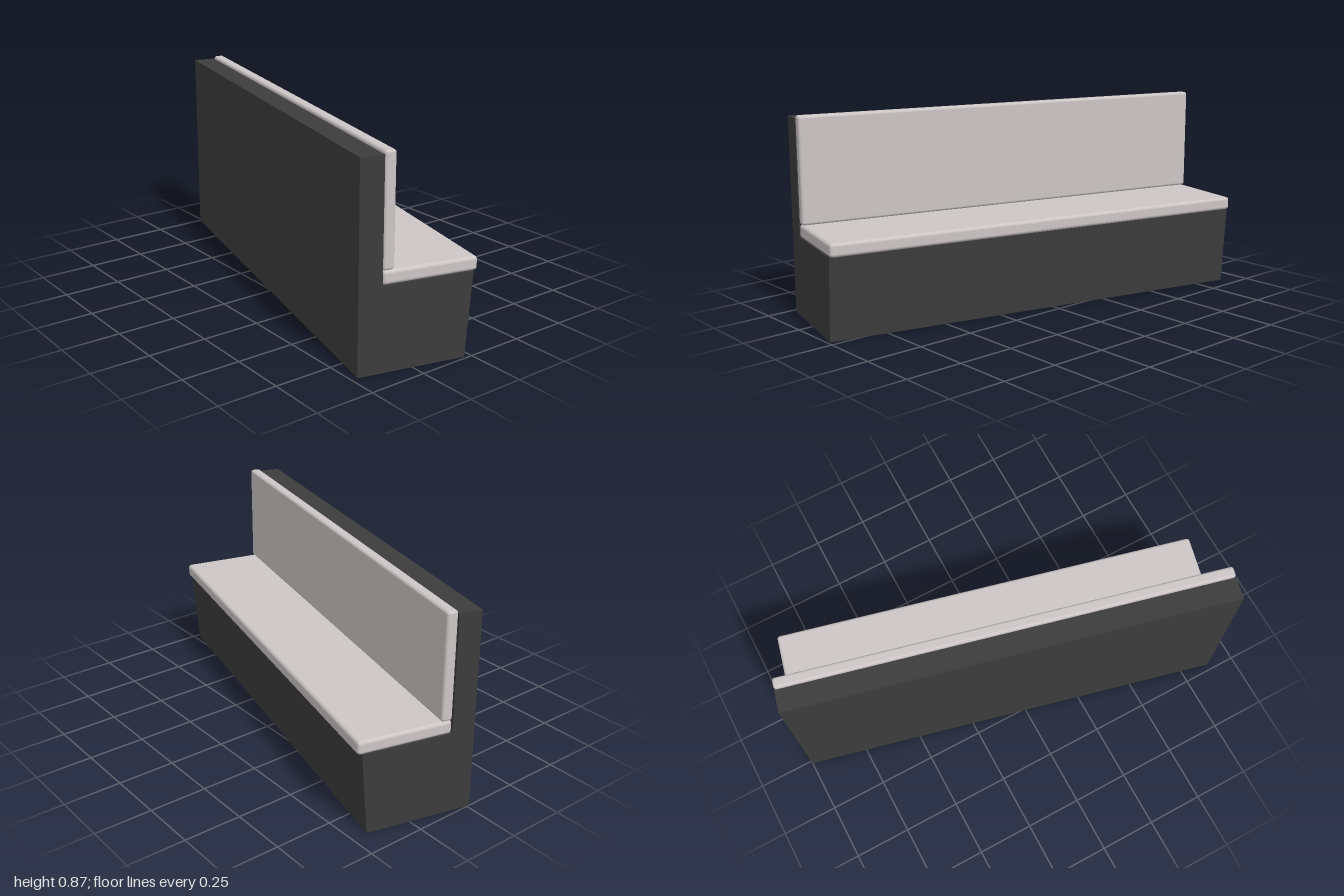
import * as THREE from 'three';
import { RoundedBoxGeometry } from 'three/addons/geometries/RoundedBoxGeometry.js';

const LENGTH = 1.936;

export function createModel() {
  const frameMaterial = new THREE.MeshStandardMaterial({ color: 0x3c3c3c });
  frameMaterial.name = 'charcoal';
  const cushionMaterial = new THREE.MeshStandardMaterial({ color: 0xccc5c5 });
  cushionMaterial.name = 'pale grey upholstery';

  const bench = new THREE.Group();
  bench.name = 'bench';

  // Base and back panel: one L-shaped section with a sloping front
  const section = new THREE.Shape([
    [-0.25, 0], [0.206, 0], [0.232, 0.353], [-0.152, 0.353], [-0.152, 0.853], [-0.25, 0.853],
  ].map(([x, y]) => new THREE.Vector2(x, y)));
  const frameGeometry = new THREE.ExtrudeGeometry(section, { depth: LENGTH, bevelEnabled: false });
  frameGeometry.translate(0, 0, -LENGTH / 2);
  const frame = new THREE.Mesh(frameGeometry, frameMaterial);
  frame.name = 'frame';
  bench.add(frame);

  // Soft-edged cushions running the whole length
  const addCushion = (name, x0, x1, y0, y1, radius) => {
    const geometry = new RoundedBoxGeometry(x1 - x0, y1 - y0, LENGTH, 4, radius);
    const cushion = new THREE.Mesh(geometry, cushionMaterial);
    cushion.name = name;
    cushion.position.set((x0 + x1) / 2, (y0 + y1) / 2, 0);
    bench.add(cushion);
  };
  addCushion('seatCushion', -0.15, 0.25, 0.353, 0.41, 0.014);
  addCushion('backCushion', -0.15, -0.103, 0.41, 0.867, 0.012);

  // The bench stands at an angle to the axes
  bench.rotation.y = -0.2406;

  const model = new THREE.Group();
  model.name = 'bankSeat';
  model.add(bench);
  return model;
}
